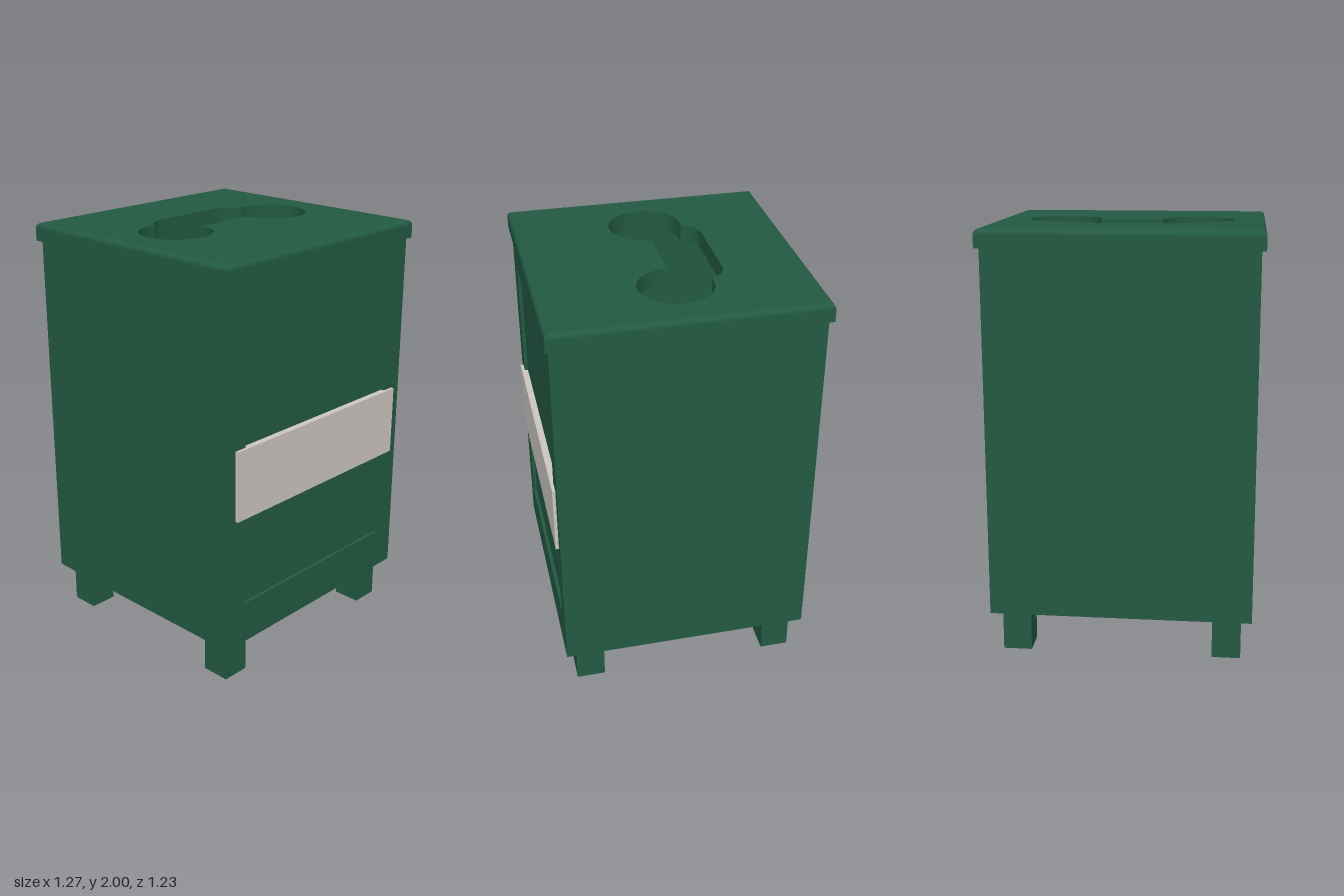
import * as THREE from 'three';

const green = new THREE.MeshStandardMaterial({ color: 0x235a43 });
green.name = 'dark green';
const beige = new THREE.MeshStandardMaterial({ color: 0xcec8c3 });
beige.name = 'pale beige';

function rect(target, x0, y0, x1, y1) {
  target.moveTo(x0, y0).lineTo(x1, y0).lineTo(x1, y1).lineTo(x0, y1).closePath();
  return target;
}

const extrude = (shape, depth) =>
  new THREE.ExtrudeGeometry(shape, { depth, bevelEnabled: false, curveSegments: 32 });

export function createModel() {
  const model = new THREE.Group();
  const add = (name, geometry, material = green) => {
    const mesh = new THREE.Mesh(geometry, material);
    mesh.name = name;
    model.add(mesh);
    return mesh;
  };
  const box = (name, w, h, d, x, y, z, material) =>
    add(name, new THREE.BoxGeometry(w, h, d).translate(x, y, z), material);

  // Hollow cabinet walls, extruded upward from the plan (shape y is -z)
  const W = 0.615, back = 0.597, front = 0.584, bottom = 0.2, top = 1.915, t = 0.02;
  const plan = rect(new THREE.Shape(), -W, -front, W, back);
  plan.holes.push(rect(new THREE.Path(), -W + t, -front + t, W - t, back - t));
  add('cabinetWalls', extrude(plan, top - bottom).rotateX(-Math.PI / 2).translate(0, bottom, 0));
  box('cabinetFloor', 2 * W - t, t, 1.16, 0, bottom + t / 2, -0.005);

  // Frame around the recessed front panel
  const frame = rect(new THREE.Shape(), -W, bottom, W, top);
  frame.holes.push(rect(new THREE.Path(), -0.5, 0.4, 0.5, 1.755));
  add('frontFrame', extrude(frame, 0.016).translate(0, 0, front));

  // Plain band across the front
  box('frontBand', 1.12, 0.335, 0.035, 0, 1.0075, 0.5975, beige);

  // Four square feet
  for (const x of [-1, 1]) {
    for (const z of [-1, 1]) {
      box('foot', 0.135, 0.2, 0.138, x * 0.4975, 0.1, z * 0.478);
    }
  }

  // Lid slab with an opening: two round holes joined by a slot
  const lx = 0.635, lz = 0.615, r = 0.025;
  const slab = rect(new THREE.Shape(), -lx + r, -lz + r, lx - r, lz - r);
  const hole = new THREE.Path();
  hole.moveTo(-0.15, 0);
  hole.lineTo(0.15, 0);
  hole.absarc(0.32, 0, 0.17, Math.PI, Math.PI * 2.5, false);
  hole.lineTo(0.29, 0.17);
  hole.quadraticCurveTo(0.25, 0.243, 0.18, 0.243);
  hole.lineTo(-0.18, 0.243);
  hole.quadraticCurveTo(-0.25, 0.243, -0.29, 0.17);
  hole.lineTo(-0.32, 0.17);
  hole.absarc(-0.32, 0, 0.17, Math.PI / 2, Math.PI * 2, false);
  slab.holes.push(hole);
  add('lidTop', extrude(slab, 2 - top).rotateX(-Math.PI / 2).translate(0, top, 0));

  // Rounded lid rim: a unit-square lathe whose corners move out with the profile
  const profile = [[-r, top], [0, top]];
  for (let i = 0; i <= 6; i++) {
    const a = (i / 6) * Math.PI / 2;
    profile.push([-r + r * Math.cos(a), 2 - r + r * Math.sin(a)]);
  }
  let rim = new THREE.LatheGeometry(
    profile.map(([o, y]) => new THREE.Vector2((1 + o) * Math.SQRT2, y)), 4, Math.PI / 4);
  const p = rim.attributes.position;
  for (let i = 0; i < p.count; i++) {
    const x = p.getX(i), z = p.getZ(i);
    p.setX(i, x + Math.sign(x) * (lx - 1));
    p.setZ(i, z + Math.sign(z) * (lz - 1));
  }
  rim = rim.toNonIndexed();
  rim.computeVertexNormals();
  add('lidRim', rim);

  return model;
}
